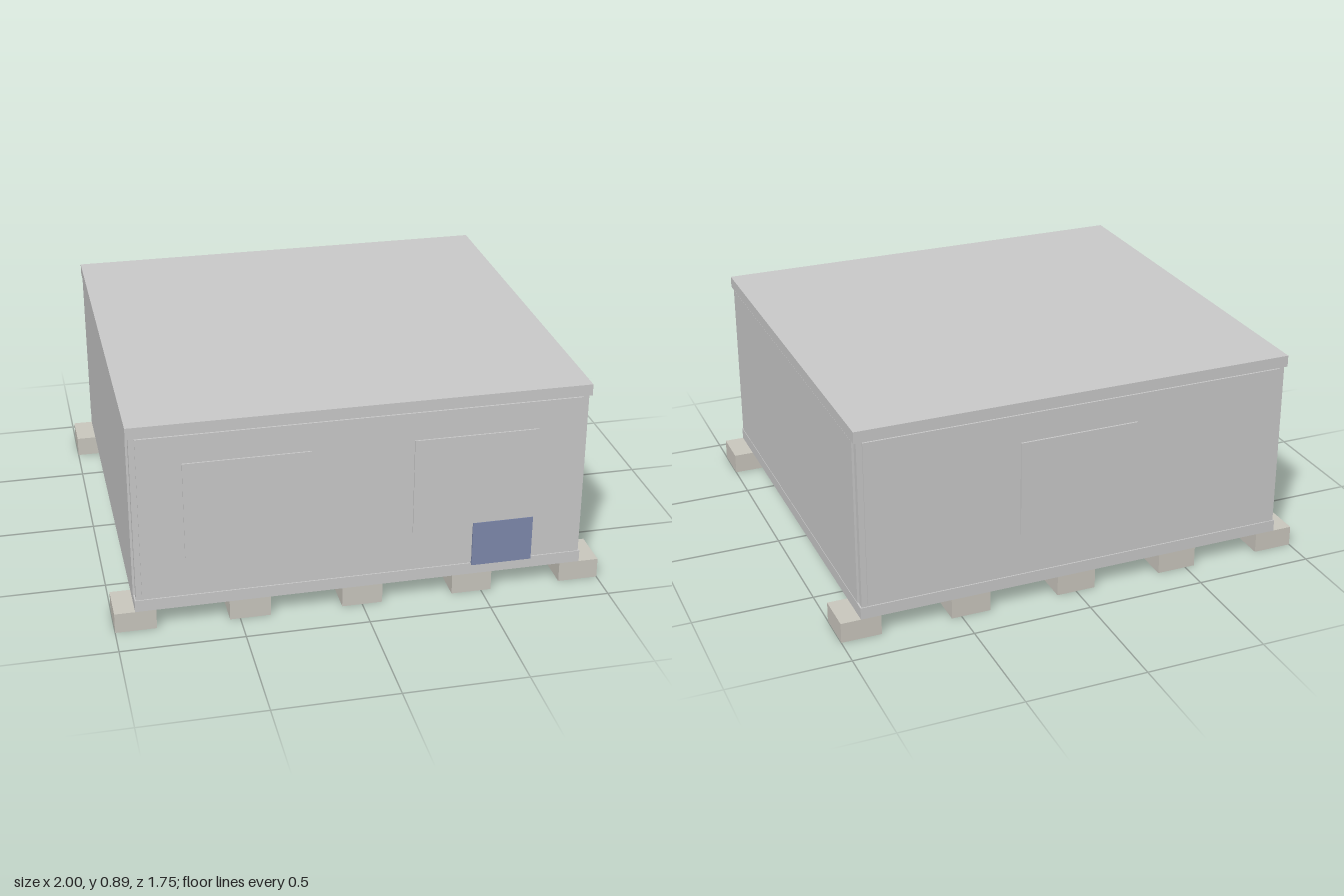
import * as THREE from 'three';

export function createModel() {
  const model = new THREE.Group();
  const grey = new THREE.MeshStandardMaterial({ color: 0xcccccc });
  const stone = new THREE.MeshStandardMaterial({ color: 0xccc9c0 });
  const blue = new THREE.MeshStandardMaterial({ color: 0x7f8aae });

  // Box given by its min and max corners
  function box(name, [x0, y0, z0], [x1, y1, z1], material = grey) {
    const mesh = new THREE.Mesh(new THREE.BoxGeometry(x1 - x0, y1 - y0, z1 - z0), material);
    mesh.position.set((x0 + x1) / 2, (y0 + y1) / 2, (z0 + z1) / 2);
    mesh.name = name;
    model.add(mesh);
  }
  // Box centred on x, z and standing on y
  const block = (name, x, y, z, w, h, d, material) =>
    box(name, [x - w / 2, y, z - d / 2], [x + w / 2, y + h, z + d / 2], material);

  const X = 0.917, Z = 0.865;          // half width and depth of the shell
  const BASE = 0.085, SILL = 0.135, EAVE = 0.842, TOP = 0.89;
  const rail = 0.04;

  // Foundation blocks: five along the front, five along the back
  for (const side of [1, -1])
    for (let i = -2; i <= 2; i++)
      block('foundationBlock', i * 0.4585, 0, side * 0.78, 0.166, BASE, 0.17, stone);

  // Base frame and the two floor joists, open between
  for (const s of [1, -1]) {
    block('baseRailLong', 0, BASE, s * (Z - rail / 2), 2 * X, SILL - BASE, rail);
    block('baseRailSide', s * (X - rail / 2), BASE, 0, rail, SILL - BASE, 2 * (Z - rail));
    block('floorJoist', s * 0.307, BASE, 0, 0.045, SILL - BASE, 2 * (Z - rail));
  }

  // Corner posts, set slightly back from the wall panels
  for (const sx of [1, -1])
    for (const sz of [1, -1])
      block('cornerPost', sx * (X - 0.023), SILL, sz * (Z - 0.019), 0.034, EAVE - SILL, 0.03);

  // Wall panels between the posts
  const panelY = 0.145;
  for (const s of [1, -1]) {
    block('sideWall', s * (X - 0.019), SILL, 0, 0.024, EAVE - SILL, 2 * (Z - 0.03));
    block('sidePanel', s * (X - 0.005), panelY, 0, 0.016, EAVE - panelY - 0.004, 1.67);
    block('endWall', 0, SILL, s * (Z - 0.016), 2 * (X - 0.03), EAVE - SILL, 0.022);
    block('endPanel', 0, panelY, s * (Z - 0.004), 1.775, EAVE - panelY - 0.004, 0.012);
  }

  // Roof slab with a small overhang
  block('roof', 0, EAVE, 0, 1.844, TOP - EAVE, 1.736);

  // Shallow window panels: two in front, one behind
  for (const x of [-0.46, 0.455])
    block('frontWindow', x, 0.31, Z + 0.002, 0.505, 0.41, 0.012);
  block('backWindow', 0, 0.32, -Z - 0.002, 0.5, 0.4, 0.014);

  // Blue hatch low on the front
  box('hatch', [0.452, 0.13, Z - 0.002], [0.703, 0.325, Z + 0.01], blue);

  return model;
}
